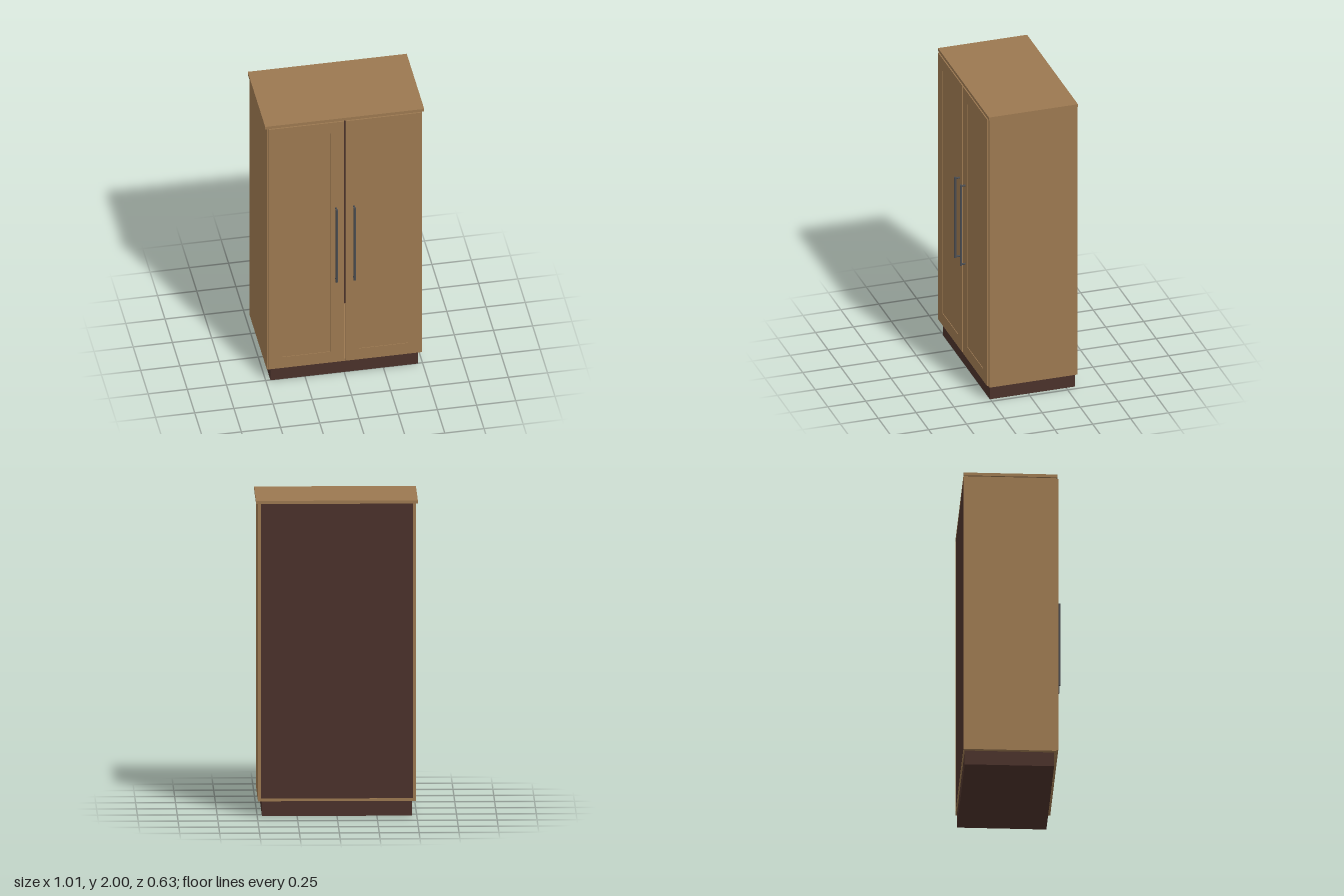
import * as THREE from 'three';

export function createModel() {
  const model = new THREE.Group();
  model.name = 'wardrobe';

  const material = (name, color) => {
    const m = new THREE.MeshStandardMaterial({ color });
    m.name = name;
    return m;
  };
  const wood = material('oak brown', 0x9b7850);
  const dark = material('dark brown', 0x4a312a);
  const metal = material('dark metal', 0x4a4c50);

  // Box given by its lower and upper corners
  const box = (name, mat, [x0, y0, z0], [x1, y1, z1], parent = model) => {
    const mesh = new THREE.Mesh(new THREE.BoxGeometry(x1 - x0, y1 - y0, z1 - z0), mat);
    mesh.position.set((x0 + x1) / 2, (y0 + y1) / 2, (z0 + z1) / 2);
    mesh.name = name;
    parent.add(mesh);
    return mesh;
  };
  const rod = (name, radius, length, parent) => {
    const mesh = new THREE.Mesh(new THREE.CylinderGeometry(radius, radius, length, 12), metal);
    mesh.name = name;
    parent.add(mesh);
    return mesh;
  };

  // Carcass
  box('plinth', dark, [-0.47, 0, -0.308], [0.47, 0.095, 0.253]);
  box('bottomPanel', wood, [-0.475, 0.095, -0.316], [0.475, 0.112, 0.265]);
  box('topPanel', wood, [-0.507, 1.98, -0.316], [0.507, 2, 0.272]);
  box('backPanel', dark, [-0.475, 0.112, -0.315], [0.475, 1.98, -0.305]);

  for (const side of [-1, 1]) {
    const label = side > 0 ? 'left' : 'right';
    const cx = side * 0.485;
    box(label + 'SidePanel', wood, [cx - 0.01, 0.095, -0.316], [cx + 0.01, 1.98, 0.265]);

    // Door: a frame around a slightly recessed panel
    const door = new THREE.Group();
    door.name = label + 'Door';
    door.position.set(side * 0.2465, 1.0415, 0);
    const w = 0.2405, h = 0.9365, rail = 0.084;
    const rect = (path, a, b) => path.moveTo(-a, -b).lineTo(a, -b).lineTo(a, b).lineTo(-a, b).closePath();
    const shape = rect(new THREE.Shape(), w, h);
    shape.holes.push(rect(new THREE.Path(), w - rail, h - rail));
    const frame = new THREE.Mesh(
      new THREE.ExtrudeGeometry(shape, { depth: 0.011, bevelEnabled: false }), wood);
    frame.position.z = 0.267;
    frame.name = label + 'DoorFrame';
    door.add(frame);
    box(label + 'DoorPanel', wood, [rail - w, rail - h, 0.267], [w - rail, h - rail, 0.274], door);
    model.add(door);

    // Bar handle on two standoffs
    const handle = new THREE.Group();
    handle.name = label + 'Handle';
    handle.position.set(side * 0.057, 1.033, 0);
    rod('handleBar', 0.0075, 0.565, handle).position.z = 0.3075;
    for (const end of [-1, 1]) {
      const post = rod('handlePost', 0.006, 0.032, handle);
      post.rotation.x = Math.PI / 2;
      post.position.set(0, end * 0.275, 0.292);
    }
    model.add(handle);
  }
  return model;
}
